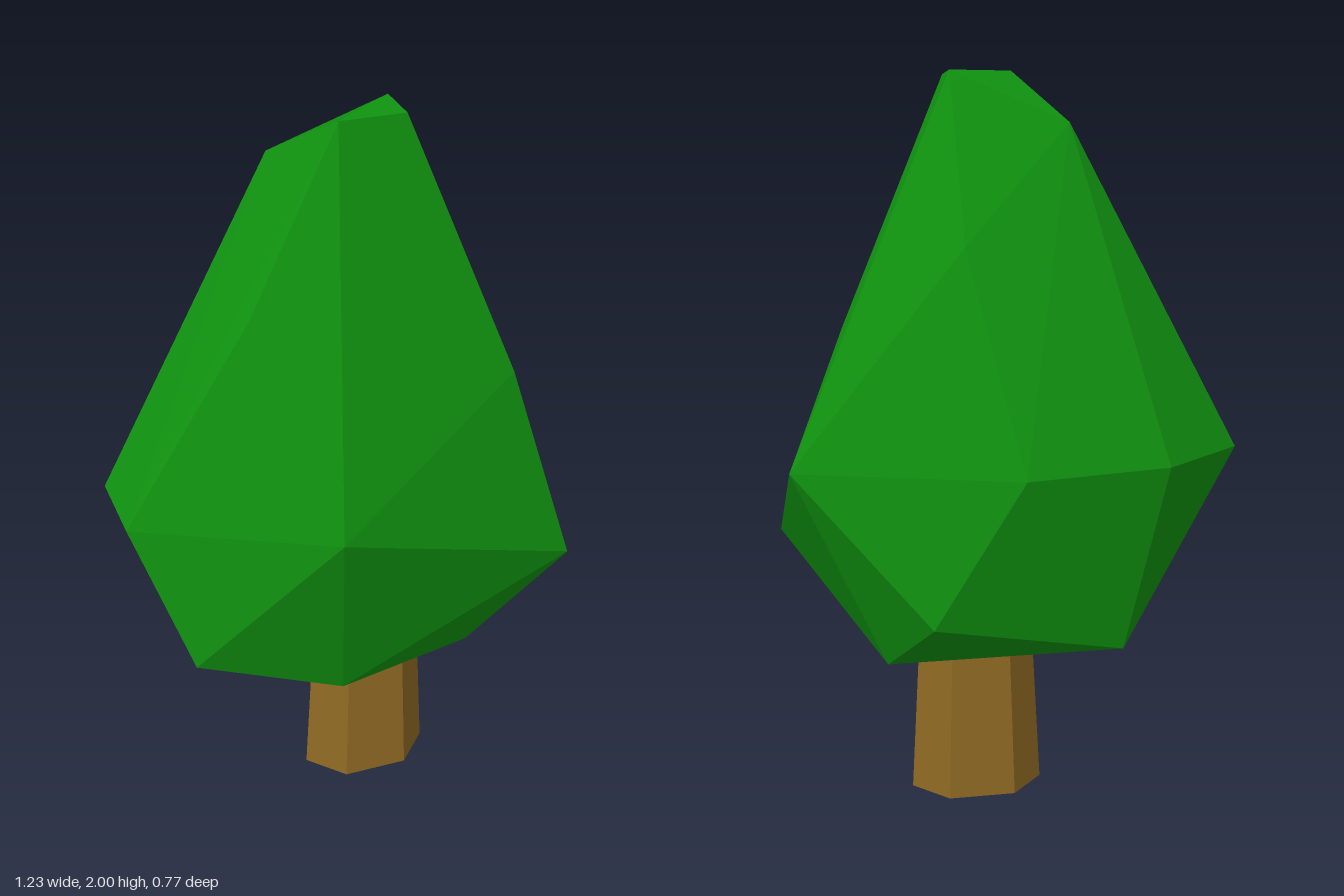
import * as THREE from 'three';
import { ConvexGeometry } from 'three/addons/geometries/ConvexGeometry.js';

export function createModel() {
  const leafGreen = new THREE.MeshStandardMaterial({ color: 0x109410, flatShading: true });
  leafGreen.name = 'leafGreen';
  const barkBrown = new THREE.MeshStandardMaterial({ color: 0x906a24, flatShading: true });
  barkBrown.name = 'barkBrown';

  const tree = new THREE.Group();
  tree.name = 'tree';

  // Crown: irregular faceted hull, listed in rings from the top down
  const crownPoints = [
    // tip
    [-0.03, 2, 0.11], [0.16, 2, -0.06], [0.16, 1.99, 0.07], [-0.14, 1.87, -0.12],
    // shoulders
    [-0.28, 1.55, 0.17], [0.15, 1.57, -0.24], [0.43, 1.31, 0.19],
    // widest ring
    [-0.61, 1, 0.13], [-0.615, 1, -0.11], [-0.375, 1, -0.31], [0.02, 1, -0.39],
    [0.6, 1, -0.2], [-0.11, 1, 0.385], [0.615, 0.73, 0.23],
    // underside
    [-0.47, 0.6, 0.23], [0.25, 0.6, -0.33], [-0.28, 0.475, -0.22],
    [-0.06, 0.435, 0.24], [0.35, 0.435, 0.15], [0.35, 0.435, -0.12],
  ].map((p) => new THREE.Vector3(...p));
  const crown = new THREE.Mesh(new ConvexGeometry(crownPoints), leafGreen);
  crown.name = 'crown';
  tree.add(crown);

  // Trunk: tapered six-sided post, flattened front to back
  const height = 0.6;
  const trunk = new THREE.Mesh(
    new THREE.CylinderGeometry(0.153, 0.186, height, 6, 1, false, Math.PI / 6),
    barkBrown
  );
  trunk.name = 'trunk';
  trunk.scale.z = 0.63;
  trunk.position.set(0.085, height / 2, 0.027);
  tree.add(trunk);

  return tree;
}
